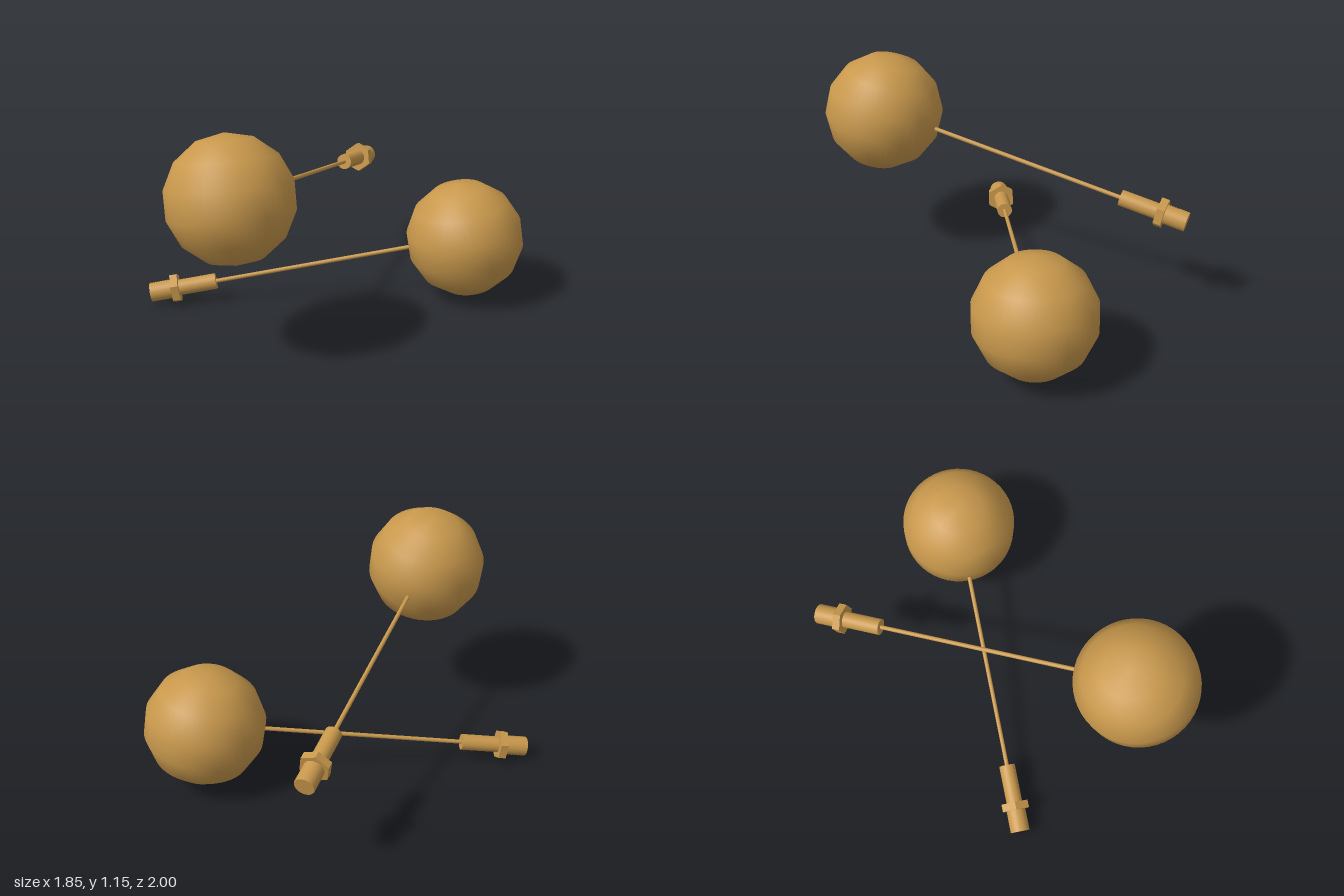
import * as THREE from 'three';

const brass = new THREE.MeshStandardMaterial({ color: 0xc8984c });
brass.name = 'brass';

const BALL_R = 0.3125;
const LENGTH = 1.71; // ball centre to threaded tip

function part(name, geometry) {
  const mesh = new THREE.Mesh(geometry, brass);
  mesh.name = name;
  return mesh;
}

// Cylinder running along +z between two distances from the ball centre
function bar(name, radius, from, to, sides) {
  const g = new THREE.CylinderGeometry(radius, radius, to - from, sides);
  g.rotateX(Math.PI / 2).translate(0, 0, (from + to) / 2);
  return part(name, sides <= 6 ? flat(g) : g);
}

function flat(geometry) {
  const g = geometry.toNonIndexed();
  g.computeVertexNormals();
  return g;
}

// Finely ridged stub; its normals face inward, so it is shaded from within
function threadedStub(from, to) {
  const ridges = 9, profile = [];
  for (let i = 0; i <= ridges * 2; i++) {
    const t = i / (ridges * 2);
    profile.push(new THREE.Vector2(i % 2 ? 0.052 : 0.049, from + (to - from) * t));
  }
  const g = new THREE.LatheGeometry(profile, 28).rotateX(Math.PI / 2);
  const n = g.attributes.normal;
  for (let i = 0; i < n.count; i++) {
    const p = new THREE.Vector3().fromBufferAttribute(g.attributes.position, i).setZ(0).normalize();
    n.setXYZ(i, -p.x, -p.y, 0);
  }
  return part('thread', g);
}

// Ball on a thin rod with sleeve, hex nut and threaded end
function floatArm(name, centre, tip, roll) {
  const arm = new THREE.Group();
  arm.name = name;
  arm.add(
    part('ball', new THREE.SphereGeometry(BALL_R, 48, 7)),
    bar('rod', 0.011, 0.27, 1.4, 16),
    bar('sleeve', 0.042, 1.355, 1.58, 28),
    bar('hexNut', 0.08, 1.555, 1.595, 6),
    threadedStub(1.59, LENGTH),
  );
  const cap = part('threadEnd', new THREE.CircleGeometry(0.049, 28));
  cap.position.z = LENGTH;
  arm.add(cap);
  arm.position.copy(centre);
  arm.lookAt(tip);
  arm.rotateZ(roll);
  return arm;
}

export function createModel() {
  const model = new THREE.Group();
  model.name = 'floatArms';
  model.add(
    floatArm('upperFloat', new THREE.Vector3(-0.205, 0.85, 0.695), new THREE.Vector3(-0.137, 0.537, -0.99), -0.17),
    floatArm('lowerFloat', new THREE.Vector3(0.62, 0.34, -0.438), new THREE.Vector3(-0.9, 0.067, 0.293), 0),
  );
  return model;
}
